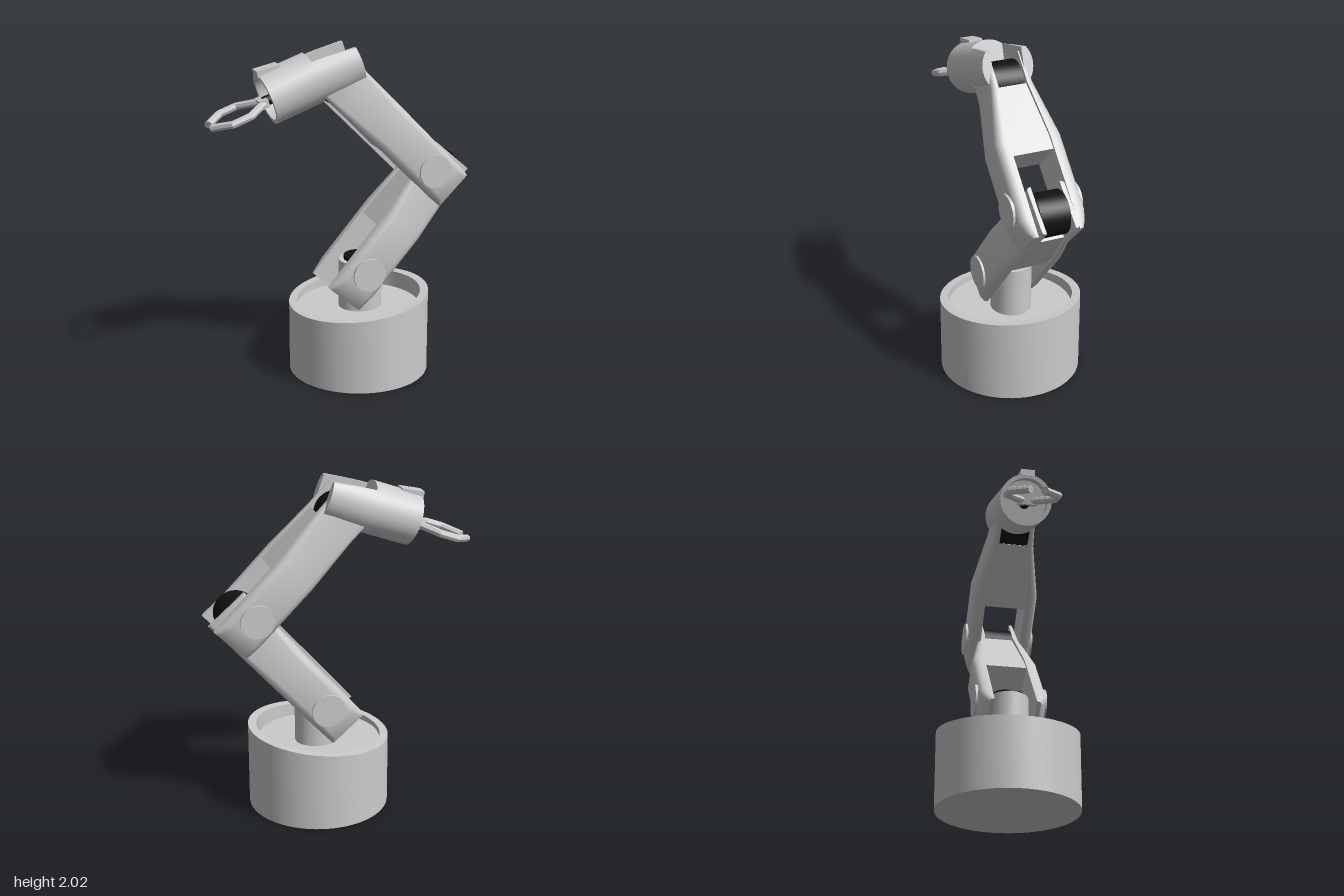
import * as THREE from 'three';
import { toCreasedNormals } from 'three/addons/utils/BufferGeometryUtils.js';

const grey = new THREE.MeshStandardMaterial({ color: 0xcccccc });
const black = new THREE.MeshStandardMaterial({ color: 0x111111 });

function add(parent, name, geometry, material = grey) {
  const mesh = new THREE.Mesh(toCreasedNormals(geometry, 0.6), material);
  mesh.name = name;
  parent.add(mesh);
  return mesh;
}

// Skin over rings of points, with both ends capped.
function loft(rings) {
  const n = rings[0].length;
  const index = [];
  for (let i = 0; i < rings.length - 1; i++) {
    for (let j = 0; j < n; j++) {
      const a = i * n + j, b = i * n + (j + 1) % n;
      index.push(a, b, b + n, a, b + n, a + n);
    }
  }
  const last = (rings.length - 1) * n;
  for (let j = 1; j < n - 1; j++) {
    index.push(0, j + 1, j, last, last + j, last + j + 1);
  }
  const g = new THREE.BufferGeometry().setFromPoints(rings.flat());
  g.setIndex(index);
  return g;
}

// Ring of [y, z] points at x; side = -1 mirrors it in z and keeps it facing out.
function ring(x, points, side = 1) {
  const r = points.map(([y, z]) => new THREE.Vector3(x, y, z * side));
  return side < 0 ? r.reverse() : r;
}

const zCylinder = (r, length, sides = 32) =>
  new THREE.CylinderGeometry(r, r, length, sides).rotateX(Math.PI / 2);

// Rail section: flat inside, rounded outer corners.
function railSection(hw, zin, zout) {
  const b = Math.min(0.045, (zout - zin) * 0.7);
  const top = [0, 1, 2, 3].map((k) => {
    const t = (k / 3) * Math.PI / 2;
    return [hw - b + b * Math.cos(t), zout - b + b * Math.sin(t)];
  });
  const bottom = top.map(([y, z]) => [-y, z]).reverse();
  return [[hw, zin], ...top, ...bottom, [-hw, zin]];
}

// Arm link: a wide fork at the pivot (origin) tapering to a narrow tongue along +x.
function createLink(name) {
  const link = new THREE.Group();
  link.name = name;
  const rail = [ // x, half height, inner z, outer z
    [-0.21, 0.13, 0.125, 0.15], [-0.17, 0.13, 0.125, 0.178], [-0.1, 0.13, 0.125, 0.2],
    [0.35, 0.132, 0.125, 0.2], [0.68, 0.138, 0.088, 0.128], [0.87, 0.142, 0.088, 0.113],
  ];
  for (const side of [1, -1]) {
    add(link, 'forkRail', loft(rail.map(([x, h, a, b]) => ring(x, railSection(h, a, b), side))));
    add(link, 'pivotCap', zCylinder(0.1, 0.03)).position.z = side * 0.198;
  }
  const webSection = (h, z) => [[h, -z], [h, z], [-h, z], [-h, -z]];
  add(link, 'web', loft([
    ring(0.27, webSection(0.118, 0.13)), ring(0.36, webSection(0.118, 0.13)),
    ring(0.68, webSection(0.118, 0.092)),
  ]));
  add(link, 'jointDrum', zCylinder(0.128, 0.178), black).position.set(0.755, 0.01, 0);
  return link;
}

// Jaw: octagonal bar following a bent path in the xz plane.
function jawGeometry(path) {
  const up = new THREE.Vector3(0, 1, 0);
  return loft(path.map((p, i) => {
    const dir = path[Math.min(i + 1, path.length - 1)].clone()
      .sub(path[Math.max(i - 1, 0)]).normalize();
    const across = up.clone().cross(dir);
    return Array.from({ length: 8 }, (_, k) => {
      const t = (k / 8) * Math.PI * 2;
      return p.clone().addScaledVector(across, 0.026 * Math.cos(t))
        .addScaledVector(up, 0.023 * Math.sin(t));
    });
  }));
}

function createHead() {
  const head = new THREE.Group();
  head.name = 'head';
  const R = 0.155;

  // Barrel with a recessed front
  const profile = [[0, 0.07], [0.13, 0.07], [0.13, 0], [R, 0], [R, 0.3], [0, 0.3]]
    .map(([r, y]) => new THREE.Vector2(r, y));
  add(head, 'barrel', new THREE.LatheGeometry(profile, 48).rotateZ(-Math.PI / 2));

  // Two ears: slices of the barrel that narrow towards the wrist
  const earSection = (hm) => {
    const arc = Array.from({ length: 11 }, (_, k) => {
      const y = hm * (1 - k / 5);
      return [y, Math.sqrt(R * R - y * y)];
    });
    return [[hm, 0.095], ...arc, [-hm, 0.095]];
  };
  for (const side of [1, -1]) {
    add(head, 'ear', loft([
      ring(0.28, earSection(0.12), side), ring(0.4, earSection(0.112), side),
      ring(0.57, earSection(0.094), side),
    ]));
  }

  // Raised tab on top
  const tab = add(head, 'topTab', new THREE.BoxGeometry(0.14, 0.04, 0.085));
  tab.position.set(0.065, 0.153, 0);
  tab.rotation.z = -0.13;

  // Gripper
  const gripper = new THREE.Group();
  gripper.name = 'gripper';
  gripper.position.y = -0.012;
  head.add(gripper);
  add(gripper, 'axle', new THREE.CylinderGeometry(0.03, 0.03, 0.1, 16).rotateZ(Math.PI / 2), black)
    .position.x = 0.03;
  add(gripper, 'hub', new THREE.BoxGeometry(0.05, 0.05, 0.11)).position.x = -0.025;
  for (const side of [1, -1]) {
    const path = [[-0.02, 0.025], [-0.06, 0.06], [-0.145, 0.138], [-0.255, 0.138], [-0.355, 0.04]]
      .map(([x, z]) => new THREE.Vector3(x, 0, z * side));
    add(gripper, 'jaw', jawGeometry(path));
  }
  return head;
}

function createBase() {
  const base = new THREE.Group();
  base.name = 'base';
  base.position.x = 0.125;

  // Tub with a slanted rim
  const profile = [[0, 0], [0.425, 0], [0.425, 0.47], [0.375, 0.47], [0.375, 0.4], [0, 0.4]]
    .map(([r, y]) => new THREE.Vector2(r, y));
  const tub = new THREE.LatheGeometry(profile, 64);
  const p = tub.attributes.position;
  for (let i = 0; i < p.count; i++) {
    if (p.getY(i) > 0.45) p.setY(i, 0.47 + 0.1 * p.getX(i));
  }
  add(base, 'tub', tub);

  // Turning post between the fork rails
  const post = add(base, 'post', new THREE.CylinderGeometry(0.122, 0.122, 0.31, 32));
  post.position.set(0.01, 0.545, 0);
  post.scale.x = 1.08;
  add(base, 'postCap', new THREE.CylinderGeometry(0.1, 0.1, 0.03, 32), black)
    .position.set(0.01, 0.708, 0);
  return base;
}

export function createModel() {
  const model = new THREE.Group();
  model.name = 'robotArm';
  const place = (part, x, y, angle) => {
    part.position.set(x, y, 0);
    part.rotation.z = angle;
    model.add(part);
  };
  model.add(createBase());
  place(createLink('lowerArm'), 0.113, 0.663, 0.85);
  place(createLink('upperArm'), 0.53, 1.26, 2.345);
  place(createHead(), -0.45, 1.735, 0.345);
  return model;
}
